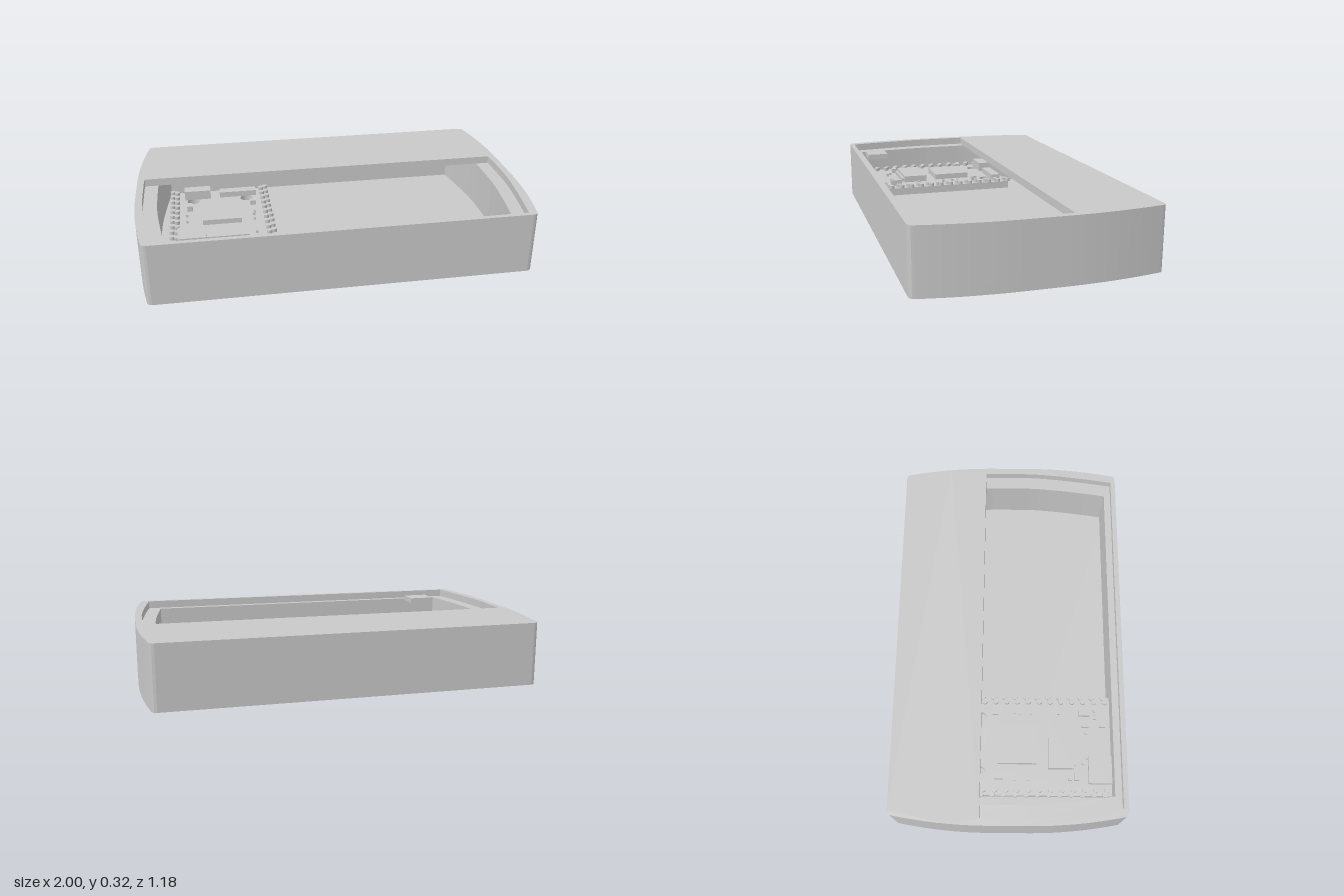
import * as THREE from 'three';

const grey = new THREE.MeshStandardMaterial({ color: 0xc8c8c8 });
grey.name = 'grey plastic';

// Bowed outline between z0 and z1: half width w at the middle, narrowing by `drop` at |z| = end
function bowedPoints(w, drop, end, z0, z1, power, rounded) {
  const side = [];
  const steps = 20;
  for (let i = 0; i <= steps; i++) {
    const z = z0 + (z1 - z0) * i / steps;
    const t = Math.max(0, Math.abs(z) - 0.1) / (end - 0.1);
    side.push([w - drop * t ** power, z]);
  }
  if (rounded) { // small corner radius
    const [x, z] = side[steps];
    const corner = [[x - 0.003, z + 0.012], [x - 0.012, z + 0.021], [x - 0.025, z + 0.025]];
    side.push(...corner);
    side.unshift(...corner.map(([cx, cz]) => [cx, -cz]).reverse());
  }
  const mirrored = side.map(([x, z]) => [-x, z]).reverse();
  // counter-clockwise order, so that walls of openings face inwards
  return [...side, ...mirrored].map(([x, z]) => new THREE.Vector2(x, -z)).reverse();
}

// Horizontal slab from y0 to y1, with optional openings
function slab(name, points, y0, y1, holes = []) {
  const shape = new THREE.Shape(points);
  shape.holes.push(...holes);
  const geo = new THREE.ExtrudeGeometry(shape, { depth: y1 - y0, bevelEnabled: false, curveSegments: 16 });
  geo.rotateX(-Math.PI / 2).translate(0, y0, 0);
  const mesh = new THREE.Mesh(geo, grey);
  mesh.name = name;
  return mesh;
}

// Box standing on y0
function block(name, x, z, w, d, y0, h) {
  const mesh = new THREE.Mesh(new THREE.BoxGeometry(w, h, d), grey);
  mesh.position.set(x, y0 + h / 2, z);
  mesh.name = name;
  return mesh;
}

export function createModel() {
  const model = new THREE.Group();
  model.name = 'enclosure';

  // Case: floor, hollow walls, and a top with an open window and recessed ledge
  const outer = bowedPoints(1, 0.045, 0.565, -0.565, 0.565, 2, true);
  const cavity = new THREE.Path(bowedPoints(0.895, 0.047, 0.53, -0.53, 0.53, 1.4, false));
  const windowEdge = new THREE.Path(bowedPoints(0.965, 0.053, 0.565, -0.14, 0.565, 1.4, false));
  model.add(
    slab('caseFloor', outer, 0, 0.04),
    slab('caseWalls', outer, 0.04, 0.28, [cavity]),
    slab('caseTop', outer, 0.28, 0.32, [windowEdge]),
  );

  // Circuit board with two mounting holes at the rear
  const board = new THREE.Group();
  board.name = 'circuitBoard';
  const cx = -0.57, top = 0.165;
  const rect = [[-0.83, 0.53], [-0.31, 0.53], [-0.31, -0.26], [-0.83, -0.26]]
    .map(([x, z]) => new THREE.Vector2(x, -z));
  const mountingHoles = [-1, 1].map((s) =>
    new THREE.Path().absarc(cx + s * 0.145, 0.15, 0.033, 0, Math.PI * 2, true));
  board.add(slab('boardPlate', rect, top - 0.04, top, mountingHoles));

  // Double rows of contact pins along both long edges
  const pinGeo = new THREE.CylinderGeometry(0.014, 0.014, 0.018, 10);
  for (const s of [-1, 1]) {
    for (let i = 0; i < 14; i++) {
      for (const offset of [0.232, 0.256]) {
        const pin = new THREE.Mesh(pinGeo, grey);
        pin.position.set(cx + s * offset, top + 0.009, 0.505 - i * 0.0575 - (offset > 0.24 ? 0.012 : 0));
        pin.name = 'contactPin';
        board.add(pin);
      }
    }
  }

  // Components: [name, x, z, width, depth, height]
  const parts = [
    ['processor', -0.57, 0.045, 0.2, 0.2, 0.03],
    ['cardSocket', -0.57, 0.27, 0.25, 0.13, 0.035],
    ['socketLip', -0.57, 0.342, 0.21, 0.014, 0.02],
    ['portConnector', -0.69, -0.2, 0.14, 0.06, 0.05],
    ['rearConnector', -0.47, -0.2, 0.2, 0.05, 0.03],
    ['button', -0.735, -0.05, 0.028, 0.045, 0.03],
    ['crystal', -0.395, -0.07, 0.03, 0.03, 0.025],
    ['regulator', -0.4, 0.395, 0.03, 0.06, 0.03],
    ['capacitor', -0.735, 0.315, 0.036, 0.018, 0.02],
    ['capacitor', -0.735, 0.35, 0.036, 0.026, 0.025],
    ['diode', -0.47, 0.4, 0.01, 0.035, 0.02],
    ['diode', -0.47, 0.49, 0.01, 0.03, 0.02],
  ];
  for (const [name, x, z, w, d, h] of parts) board.add(block(name, x, z, w, d, top, h));

  // Raised square module
  board.add(block('raisedModule', -0.72, 0.458, 0.135, 0.115, 0.27, 0.03));

  // Tiny chips
  for (const [x, z] of [[-0.75, 0.03], [-0.75, 0.1], [-0.395, 0.03], [-0.4, 0.06], [-0.4, 0.115], [-0.4, 0.26],
    [-0.665, 0.385], [-0.635, 0.405], [-0.505, 0.405], [-0.425, 0.45], [-0.405, 0.45], [-0.385, 0.45]]) {
    board.add(block('smallChip', x, z, 0.012, 0.014, top, 0.014));
  }
  model.add(board);
  return model;
}
